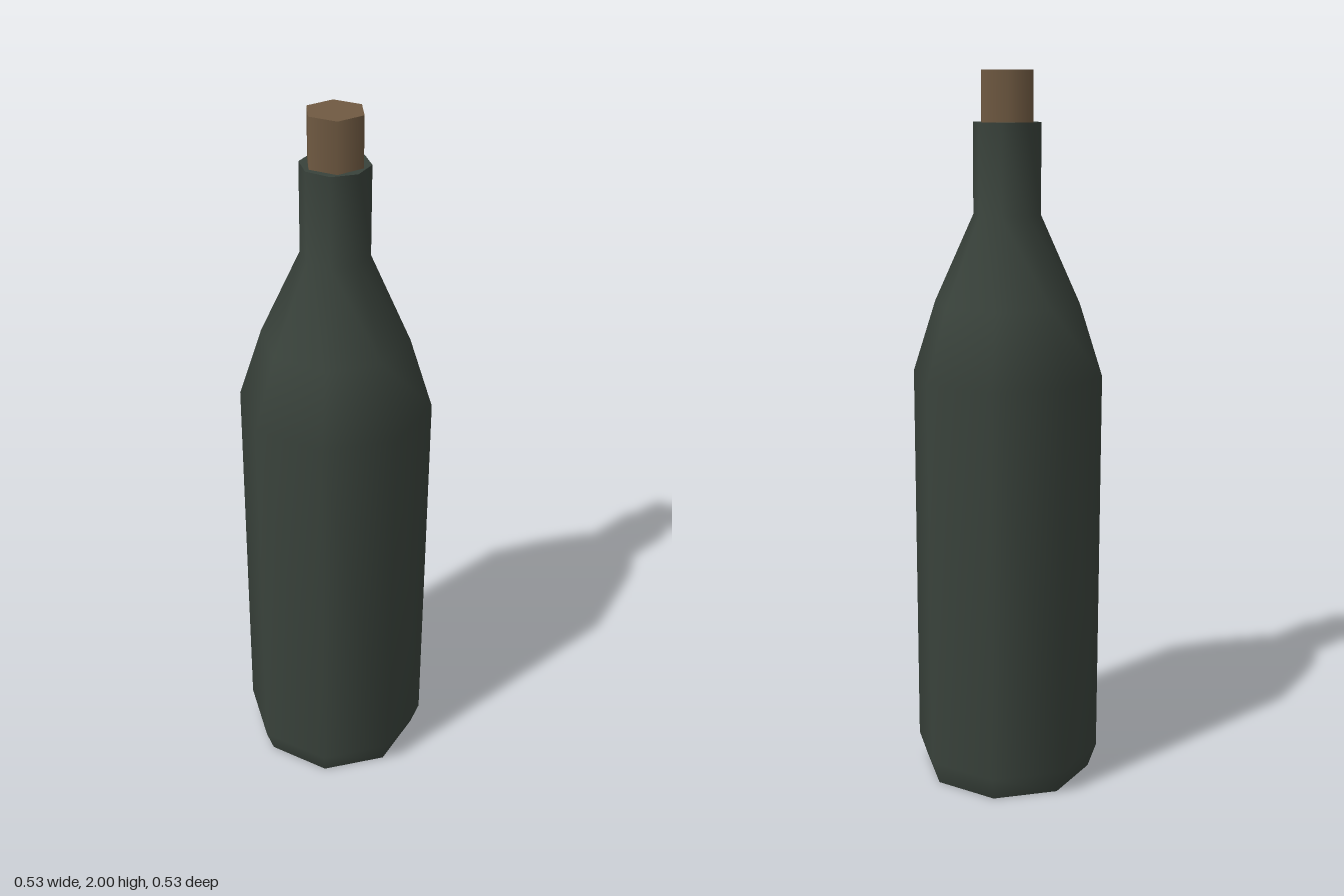
import * as THREE from 'three';

const rad = THREE.MathUtils.degToRad;

// Revolved part with few sides; phi turns the first corner away from +z.
function turned(name, profile, sides, phi, material) {
  const points = profile.map(([r, y]) => new THREE.Vector2(r, y));
  const mesh = new THREE.Mesh(new THREE.LatheGeometry(points, sides, rad(phi)), material);
  mesh.name = name;
  return mesh;
}

export function createModel() {
  const glass = new THREE.MeshStandardMaterial({ color: 0x39423b });
  glass.name = 'dark green glass';
  const corkBrown = new THREE.MeshStandardMaterial({ color: 0x705a42 });
  corkBrown.name = 'cork brown';

  const model = new THREE.Group();
  model.name = 'corkedBottle';

  // Eight-sided bottle: smooth wall, with flat base and rim kept sharp
  const bottle = new THREE.Group();
  bottle.name = 'bottle';
  const wall = [[0.242, 0], [0.266, 0.07], [0.266, 1.18], [0.202, 1.38], [0.093, 1.62], [0.093, 1.865]];
  bottle.add(
    turned('bottleWall', wall, 8, 35.9, glass),
    turned('bottleBase', [[0, 0], [0.242, 0]], 8, 35.9, glass),
    turned('neckRim', [[0.093, 1.865], [0, 1.865]], 8, 35.9, glass),
  );

  // Six-sided stopper
  const cork = new THREE.Group();
  cork.name = 'cork';
  cork.add(
    turned('corkSide', [[0.079, 1.8], [0.079, 2]], 6, 2.2, corkBrown),
    turned('corkTop', [[0.079, 2], [0, 2]], 6, 2.2, corkBrown),
    turned('corkBottom', [[0, 1.8], [0.079, 1.8]], 6, 2.2, corkBrown),
  );

  model.add(bottle, cork);
  return model;
}
